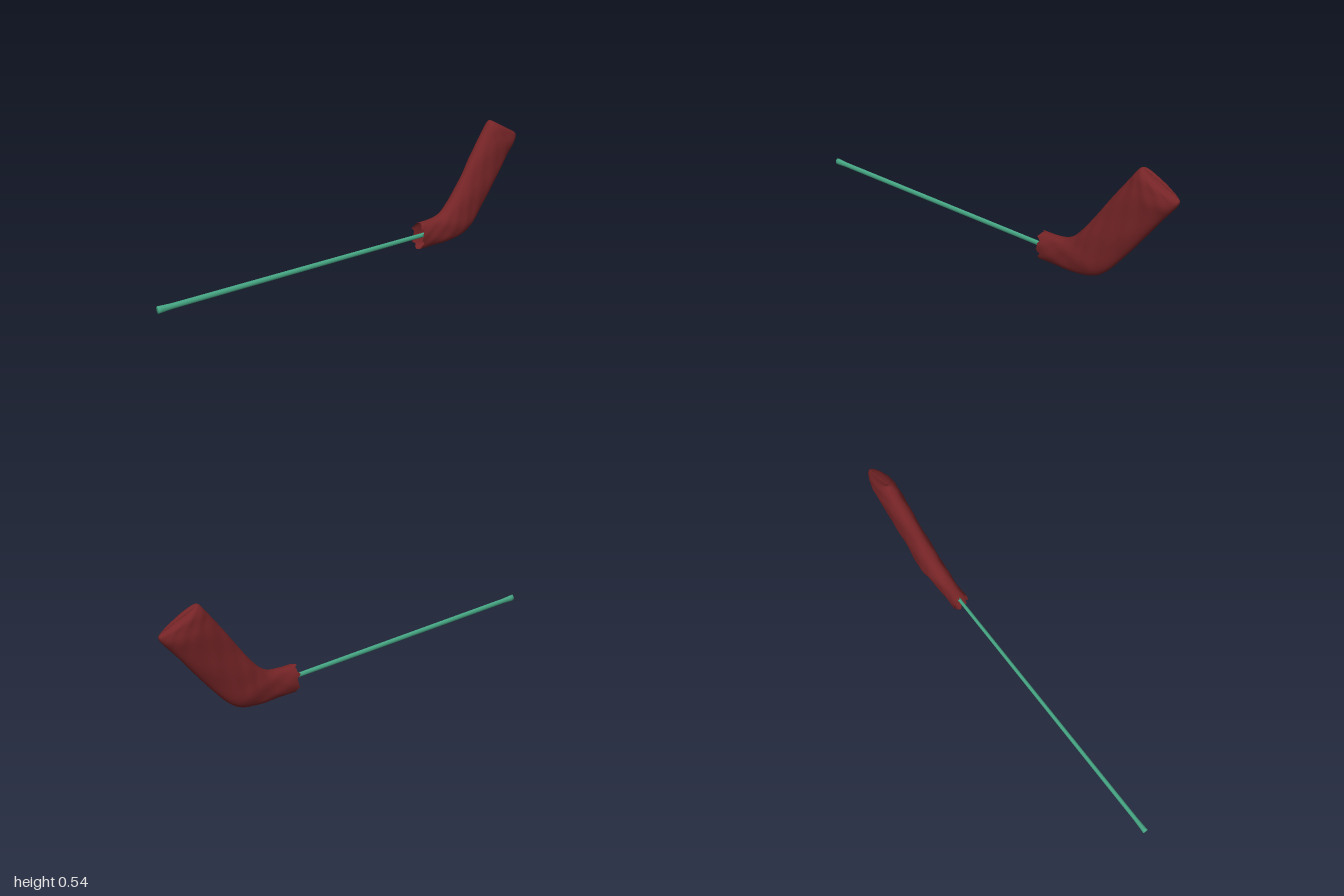
import * as THREE from 'three';

// Skin a closed-ring grid; point(t, angle) returns a Vector3
function loft(rows, sides, point) {
  const pos = [], index = [];
  for (let i = 0; i <= rows; i++) {
    for (let j = 0; j < sides; j++) {
      pos.push(...point(i / rows, (j / sides) * Math.PI * 2).toArray());
      if (i === rows) continue;
      const a = i * sides + j, b = i * sides + ((j + 1) % sides);
      index.push(a, b, a + sides, b, b + sides, a + sides);
    }
  }
  const g = new THREE.BufferGeometry();
  g.setAttribute('position', new THREE.Float32BufferAttribute(pos, 3));
  g.setIndex(index);
  g.computeVertexNormals();
  return g;
}

const spline = (pts) => new THREE.CatmullRomCurve3(pts.map((p) => new THREE.Vector3(...p)), false, 'catmullrom', 0.5);

// Cover sections: top edge x, y, bottom edge x, y, z centre, half thickness
const SECTIONS = [
  [0.355, 0.135, 0.355, 0.006, 0.016, 0.039],
  [0.42, 0.137, 0.44, 0.006, 0.016, 0.037],
  [0.48, 0.145, 0.54, 0.007, 0.014, 0.043],
  [0.53, 0.175, 0.63, 0.022, 0.01, 0.048],
  [0.58, 0.23, 0.69, 0.06, 0.007, 0.048],
  [0.64, 0.31, 0.765, 0.145, 0.002, 0.045],
  [0.70, 0.395, 0.84, 0.24, -0.005, 0.046],
  [0.76, 0.475, 0.915, 0.34, -0.012, 0.047],
  [0.79, 0.515, 0.96, 0.395, -0.014, 0.046],
  [0.81, 0.54, 0.985, 0.428, -0.016, 0.038],
  [0.825, 0.543, 0.992, 0.448, -0.018, 0.024],
  [0.84, 0.532, 0.982, 0.462, -0.02, 0.001],
];

function coverGeometry() {
  const top = spline(SECTIONS.map((s) => [s[0], s[1], s[4]]));
  const bottom = spline(SECTIONS.map((s) => [s[2], s[3], s[4]]));
  const thick = spline(SECTIONS.map((s) => [s[5], 0, 0]));
  return loft(88, 48, (t, a) => {
    const u = top.getPoint(t), l = bottom.getPoint(t);
    const c = Math.cos(a), s = Math.sin(a);
    // gentle cloth wrinkles across the sides
    const fade = Math.min(1, (1 - t) * 6);
    const wrinkle = fade * (0.03 * Math.sin(t * 31 + c * 4) + 0.025 * Math.sin(t * 53 - c * 7 + s * 2));
    const p = l.lerp(u, 0.5 + 0.5 * Math.sign(c) * Math.pow(Math.abs(c), 0.9));
    p.z += Math.max(thick.getPoint(t).x, 0) * Math.sign(s) * Math.pow(Math.abs(s), 0.85) * (1 + wrinkle);
    // frayed rim at the opening
    if (t === 0) p.x += 0.006 * Math.sin(a * 7) + 0.004 * Math.sin(a * 13 + 1);
    return p;
  });
}

// Slim shaft, flattened in z, with a slightly flared closed butt end
function shaftGeometry() {
  const start = new THREE.Vector3(-1, 0.094, 0.039), end = new THREE.Vector3(0.48, 0.07, 0.019);
  const profile = [[0, 0], [0, 0.016], [0.012, 0.015], [0.045, 0.0125], [0.5, 0.0115], [1, 0.0105], [1, 0]];
  return loft(profile.length - 1, 16, (t, a) => {
    const [d, r] = profile[Math.round(t * (profile.length - 1))];
    const p = start.clone().lerp(end, d);
    p.y += r * Math.cos(a);
    p.z += r * 0.75 * Math.sin(a);
    return p;
  });
}

export function createModel() {
  const model = new THREE.Group();
  const add = (name, geometry, color) => {
    const mesh = new THREE.Mesh(geometry, new THREE.MeshStandardMaterial({ color, side: THREE.DoubleSide }));
    mesh.name = name;
    model.add(mesh);
  };
  add('shaft', shaftGeometry(), 0x45a583);
  add('headCover', coverGeometry(), 0x752426);
  return model;
}
